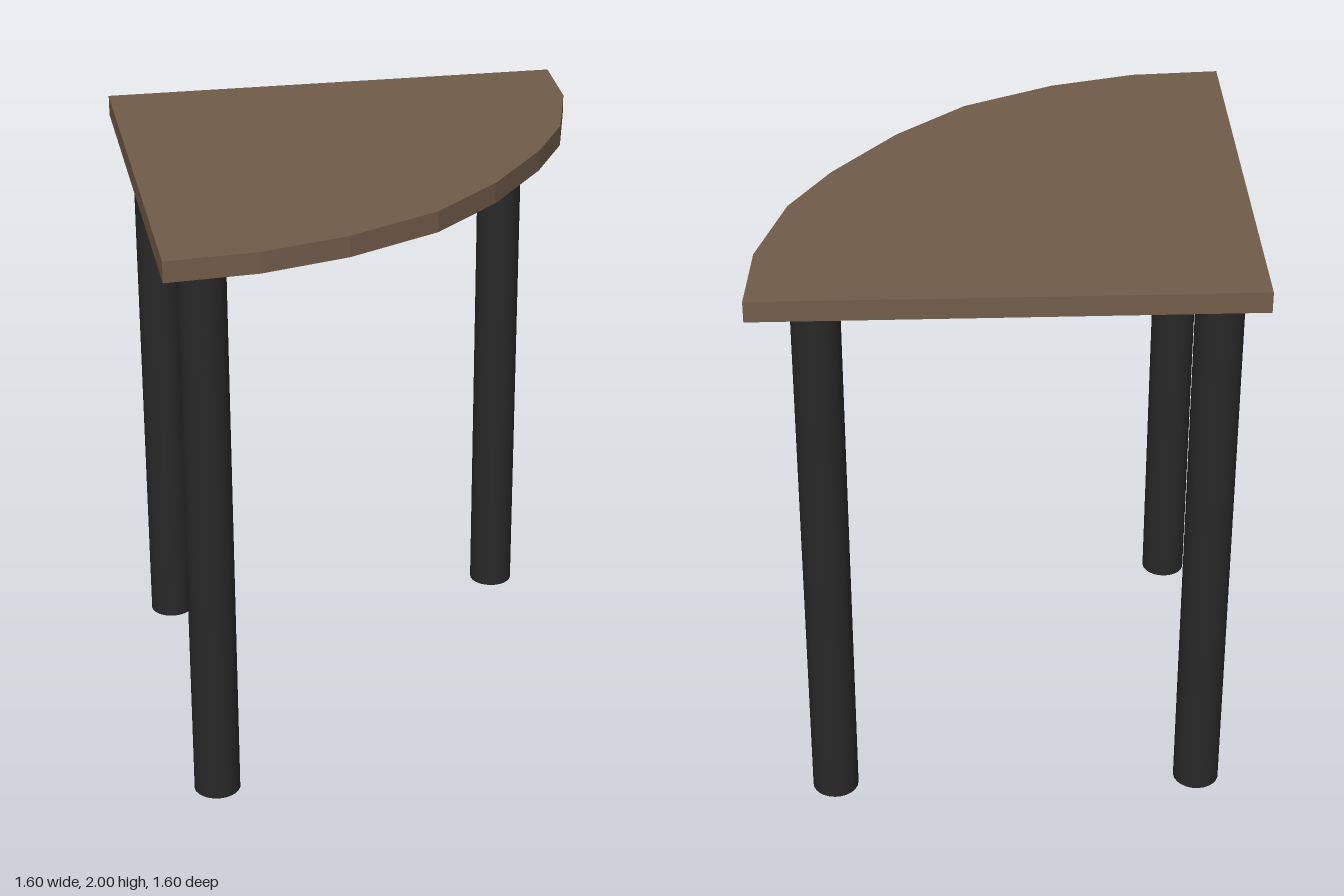
import * as THREE from 'three';

export function createModel() {
  const group = new THREE.Group();
  const wood = new THREE.MeshStandardMaterial({ color: 0x725c4a });
  const black = new THREE.MeshStandardMaterial({ color: 0x282828 });
  const height = 2, thickness = 0.07, legRadius = 0.078;

  // Quarter-round top: square back corner, faceted curved front edge (x, z)
  const outline = [
    [-0.8, -0.8], [-0.8, 0.8], [-0.5, 0.78], [-0.21, 0.7], [0.1, 0.545], [0.335, 0.33],
    [0.55, 0.055], [0.685, -0.18], [0.78, -0.5], [0.8, -0.8],
  ];
  const shape = new THREE.Shape(outline.map(([x, z]) => new THREE.Vector2(x, -z)));
  const topGeometry = new THREE.ExtrudeGeometry(shape, { depth: thickness, bevelEnabled: false });
  topGeometry.rotateX(-Math.PI / 2);
  const top = new THREE.Mesh(topGeometry, wood);
  top.name = 'tableTop';
  top.position.y = height - thickness;
  group.add(top);

  // Three round legs, one near each corner
  const legHeight = height - thickness;
  const legGeometry = new THREE.CylinderGeometry(legRadius, legRadius, legHeight, 24);
  const legs = { backRightLeg: [-0.66, -0.652], backLeftLeg: [0.59, -0.652], frontRightLeg: [-0.66, 0.607] };
  for (const [name, [x, z]] of Object.entries(legs)) {
    const leg = new THREE.Mesh(legGeometry, black);
    leg.name = name;
    leg.position.set(x, legHeight / 2, z);
    group.add(leg);
  }
  return group;
}
